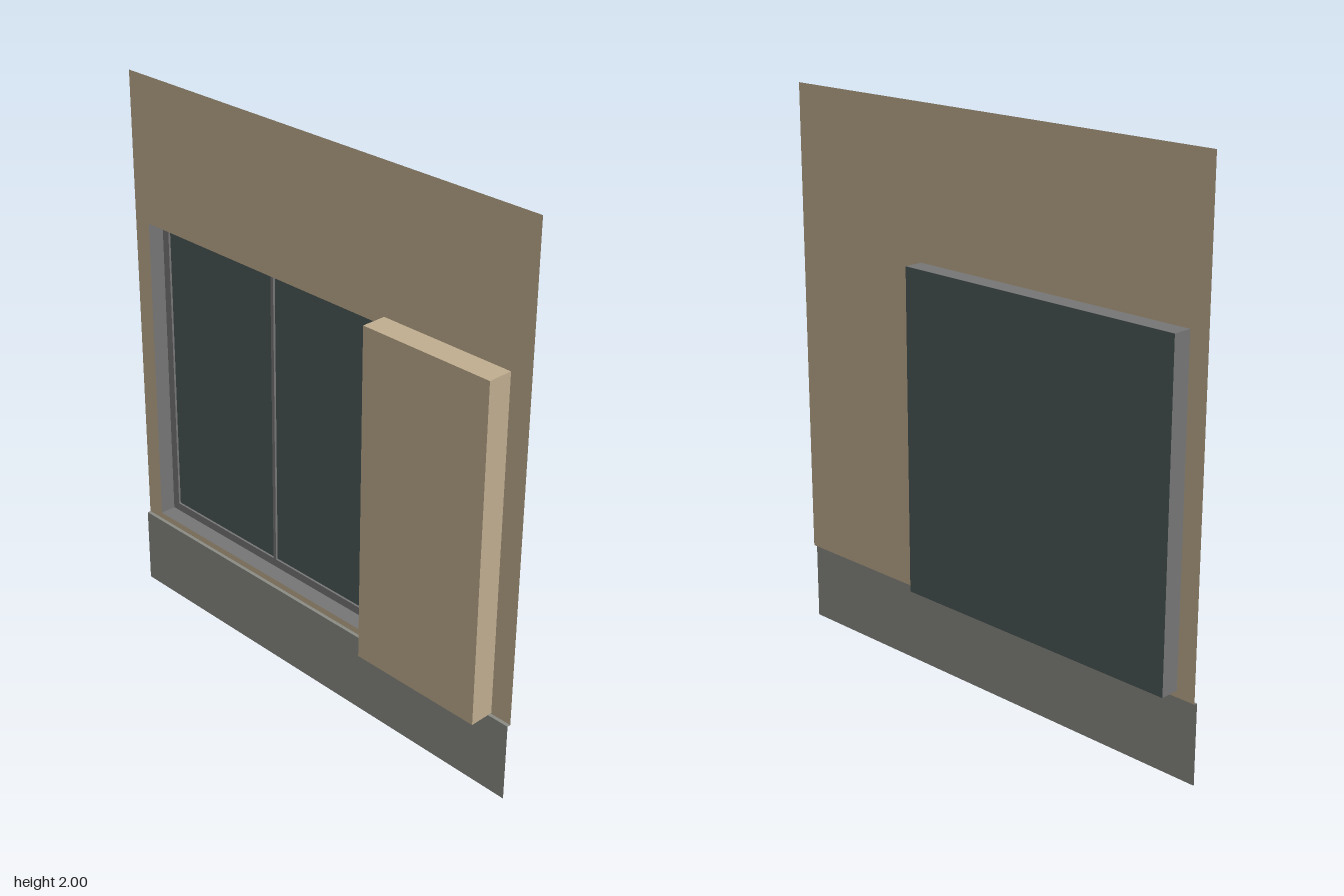
import * as THREE from 'three';

const WALL_Z = -0.01, BASE_Z = 0.003, GLASS_Z = -0.08, FRAME_Z = -0.07;
const BASE_TOP = 0.287;
const OPENING = [-0.83, 0.31, 0.3, 1.47]; // left, bottom, right, top
const PANES = [[-0.8, 0.34, -0.273, 1.44], [-0.26, 0.34, 0.267, 1.44]];

const material = (color) => new THREE.MeshStandardMaterial({ color, side: THREE.DoubleSide });

// Outline of a rectangle given by its left, bottom, right and top edges
function outline(Type, [x0, y0, x1, y1]) {
  return new Type([[x0, y0], [x1, y0], [x1, y1], [x0, y1]].map(([x, y]) => new THREE.Vector2(x, y)));
}

export function createModel() {
  const group = new THREE.Group();
  const wallMat = material(0xbfad8f);
  const baseMat = material(0x8a8b83);
  const frameMat = material(0x757575);
  const glassMat = material(0x4b5757);

  const add = (name, geometry, mat, x = 0, y = 0, z = 0) => {
    const mesh = new THREE.Mesh(geometry, mat);
    mesh.name = name;
    mesh.position.set(x, y, z);
    group.add(mesh);
    return mesh;
  };

  // Flat sheet with rectangular holes
  const sheet = (name, rect, holes, mat, z) => {
    const shape = outline(THREE.Shape, rect);
    shape.holes = holes.map((hole) => outline(THREE.Path, hole));
    return add(name, new THREE.ShapeGeometry(shape), mat, 0, 0, z);
  };

  // Wall with the window opening, and the plinth standing slightly proud of it
  sheet('wall', [-0.9, BASE_TOP, 0.9, 2], [OPENING], wallMat, WALL_Z);
  sheet('plinth', [-0.9, 0, 0.9, BASE_TOP], [], baseMat, BASE_Z);
  const ledge = add('plinthLedge', new THREE.PlaneGeometry(1.8, BASE_Z - WALL_Z), baseMat,
    0, BASE_TOP, (BASE_Z + WALL_Z) / 2);
  ledge.rotation.x = -Math.PI / 2;

  // Four reveal sides running back from the opening to the glass
  const [x0, y0, x1, y1] = OPENING;
  const depth = WALL_Z - GLASS_Z, midZ = (WALL_Z + GLASS_Z) / 2;
  for (const [name, x, turn] of [['revealRight', x0, 1], ['revealLeft', x1, -1]]) {
    add(name, new THREE.PlaneGeometry(depth, y1 - y0), frameMat, x, (y0 + y1) / 2, midZ)
      .rotation.y = turn * Math.PI / 2;
  }
  for (const [name, y, turn] of [['revealSill', y0, -1], ['revealTop', y1, 1]]) {
    add(name, new THREE.PlaneGeometry(x1 - x0, depth), frameMat, (x0 + x1) / 2, y, midZ)
      .rotation.x = turn * Math.PI / 2;
  }

  // Two-pane frame in front of the glass
  const frame = outline(THREE.Shape, OPENING);
  frame.holes = PANES.map((pane) => outline(THREE.Path, pane));
  add('windowFrame', new THREE.ExtrudeGeometry(frame, { depth: 0.008, bevelEnabled: false }),
    frameMat, 0, 0, FRAME_Z - 0.008);
  sheet('glass', OPENING, [], glassMat, GLASS_Z);

  // Projecting panel beside the window
  add('sidePanel', new THREE.BoxGeometry(0.51, 1.21, 0.09), wallMat, 0.565, 0.895, 0.035);

  return group;
}
